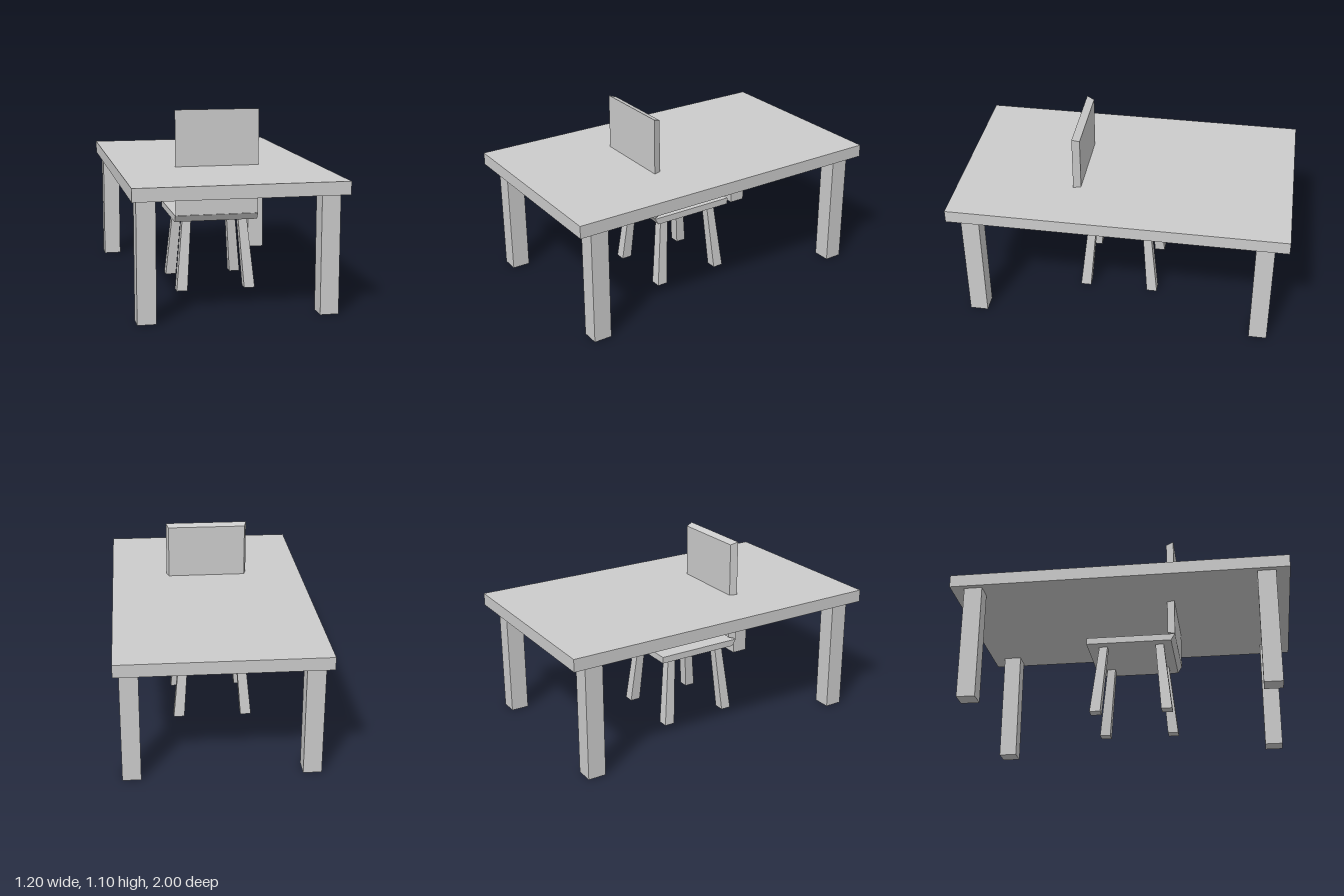
import * as THREE from 'three';

const material = new THREE.MeshStandardMaterial({ color: 0xcccccc, flatShading: true });

function addMesh(parent, name, geometry) {
  const mesh = new THREE.Mesh(geometry, material);
  mesh.name = name;
  parent.add(mesh);
  return mesh;
}

// Box whose corners are remapped: rule receives (-1|1) signs and returns [x, y, z]
function shapedBox(rule) {
  const geometry = new THREE.BoxGeometry(2, 2, 2);
  const p = geometry.attributes.position;
  for (let i = 0; i < p.count; i++) {
    p.setXYZ(i, ...rule(Math.sign(p.getX(i)), Math.sign(p.getY(i)), Math.sign(p.getZ(i))));
  }
  geometry.computeVertexNormals();
  return geometry;
}

function createTable() {
  const table = new THREE.Group();
  table.name = 'table';
  addMesh(table, 'tableTop', new THREE.BoxGeometry(1.2, 0.075, 2)).position.y = 0.729;

  // Four square legs
  for (const sx of [-1, 1]) {
    for (const sz of [-1, 1]) {
      const name = (sz > 0 ? 'front' : 'back') + (sx > 0 ? 'Left' : 'Right') + 'TableLeg';
      addMesh(table, name, new THREE.BoxGeometry(0.107, 0.692, 0.108))
        .position.set(sx * 0.515, 0.346, sz * 0.865);
    }
  }
  return table;
}

function createChair() {
  const chair = new THREE.Group();
  chair.name = 'chair';

  // Seat, undercut along the edge below the backrest
  addMesh(chair, 'seat', shapedBox((x, y, z) => [
    x * 0.254,
    y > 0 ? 0.47 : 0.43,
    z < 0 ? -0.232 : y > 0 ? 0.305 : 0.28,
  ]));

  // Backrest, narrowing toward the sitter's side
  addMesh(chair, 'backrest', shapedBox((x, y, z) => [
    x * (z > 0 ? 0.254 : 0.24),
    0.788 + y * (z > 0 ? 0.316 : 0.301),
    z > 0 ? 0.305 : 0.26,
  ]));

  // Splayed legs, slightly thicker at the floor
  for (const sx of [-1, 1]) {
    for (const sz of [-1, 1]) {
      const name = (sz > 0 ? 'front' : 'back') + (sx > 0 ? 'Left' : 'Right') + 'ChairLeg';
      addMesh(chair, name, shapedBox((x, y, z) => y > 0
        ? [sx * 0.173 + x * 0.027, 0.432, 0.035 + sz * 0.171 + z * 0.025]
        : [sx * 0.21 + x * 0.033, 0, 0.035 + sz * 0.212 + z * 0.032]));
    }
  }
  return chair;
}

export function createModel() {
  const model = new THREE.Group();
  model.name = 'tableWithChair';
  model.add(createTable(), createChair());
  return model;
}
